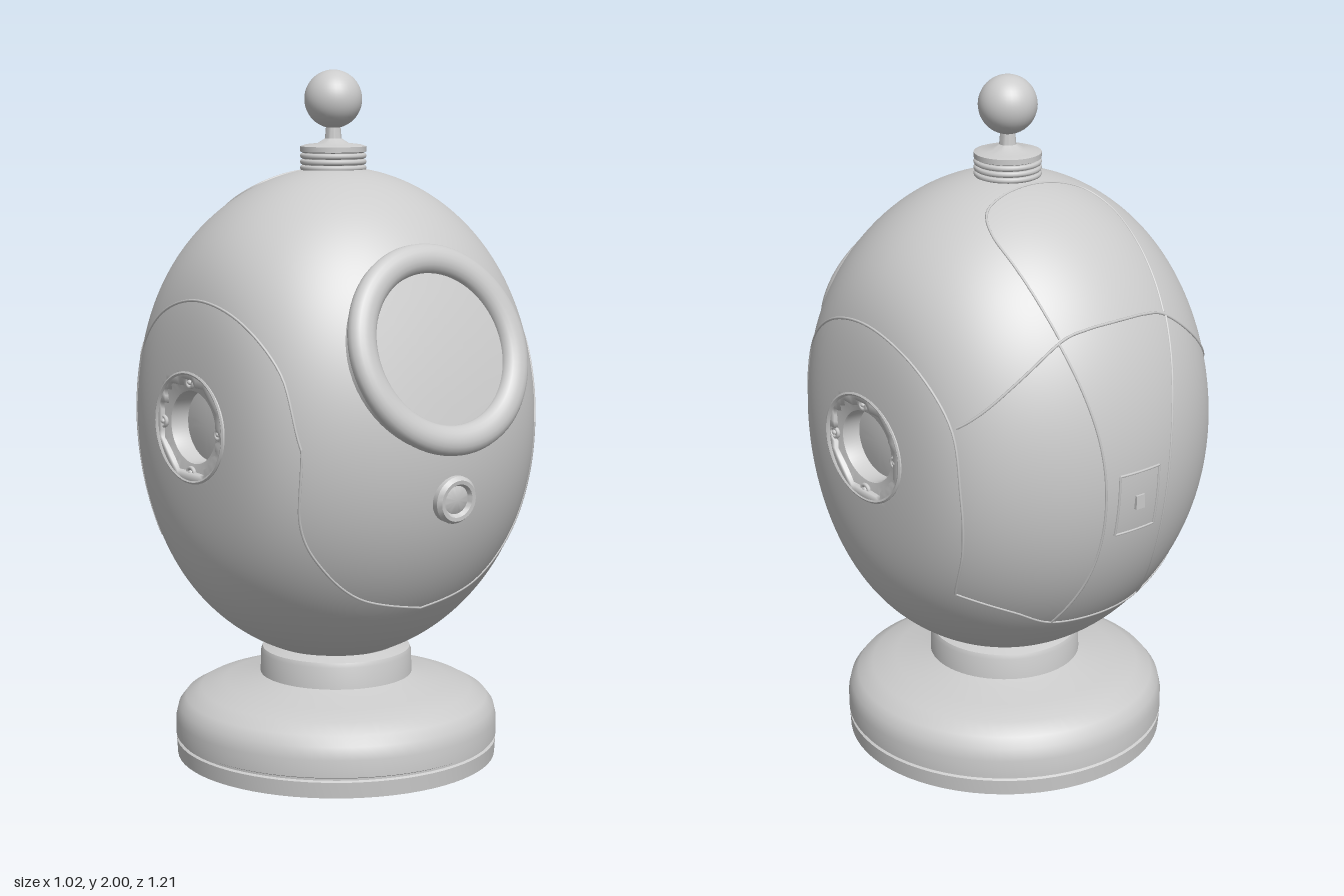
import * as THREE from 'three';
import { mergeVertices, toCreasedNormals } from 'three/addons/utils/BufferGeometryUtils.js';

const mat = new THREE.MeshStandardMaterial({ color: 0xcccccc, side: THREE.DoubleSide });
const V2 = (p) => new THREE.Vector2(p[0], p[1]);

// Shell: an ellipsoid with softly flattened sides and a slightly shallower front
const CY = 1.01, HALF = 0.715, R = 0.597, FRONT = 0.95, FLAT = 0.53;
const radius = (y) => R * Math.sqrt(Math.max(0, 1 - ((y - CY) / HALF) ** 2));
const soften = (x) => x / (1 + (Math.abs(x) / FLAT) ** 8) ** 0.125;
const unsoften = (x) => x / (1 - (Math.abs(x) / FLAT) ** 8) ** 0.125;
const onFace = (dir) => (x, y) => new THREE.Vector3(
  x, y, dir * (dir > 0 ? FRONT : 1) * Math.sqrt(Math.max(0, radius(y) ** 2 - unsoften(x) ** 2)));
const onSide = (z, y) => new THREE.Vector3(
  soften(Math.sqrt(Math.max(0, radius(y) ** 2 - (z > 0 ? z / FRONT : z) ** 2))), y, z);
const onCrown = (x, z) => new THREE.Vector3(
  x, CY + HALF * Math.sqrt(Math.max(0, 1 - (unsoften(x) ** 2 + z * z) / (R * R))), z);
const front = onFace(1), back = onFace(-1);

const WINDOW = new THREE.Vector3(0, 1.25, 0.487), TILT = -0.34;
const PORT_Y = 1.015, PORT_SQUASH = 0.88;
const CROWN_Z = -0.014;

function add(parent, name, geo, x = 0, y = 0, z = 0) {
  const mesh = new THREE.Mesh(geo, mat);
  mesh.name = name;
  mesh.position.set(x, y, z);
  parent.add(mesh);
  return mesh;
}

function lathe(points, segments = 64) {
  return toCreasedNormals(new THREE.LatheGeometry(points.map(V2), segments), 0.6);
}

function shellGeometry() {
  const profile = [];
  for (let i = 0; i <= 110; i++) {
    const a = -Math.PI / 2 + (Math.PI * i) / 110;
    profile.push(new THREE.Vector2(Math.max(0, R * Math.cos(a)), CY + HALF * Math.sin(a)));
  }
  let geo = new THREE.LatheGeometry(profile, 180);
  const pos = geo.attributes.position, v = new THREE.Vector3();
  for (let i = 0; i < pos.count; i++) {
    v.fromBufferAttribute(pos, i);
    v.x = soften(v.x);
    if (v.z > 0) v.z *= FRONT;
    // sink the shell behind the portholes
    if (Math.abs(v.x) > 0.3 && Math.hypot(v.z, (v.y - PORT_Y) / PORT_SQUASH) < 0.138) {
      v.x = Math.sign(v.x) * 0.41;
    }
    // flatten the shell behind the front window
    if (v.z > 0.2) {
      const local = v.clone().sub(WINDOW).applyAxisAngle(new THREE.Vector3(1, 0, 0), -TILT);
      if (Math.hypot(local.x, local.y) < 0.24) {
        local.z = Math.min(local.z, -0.02);
        v.copy(local.applyAxisAngle(new THREE.Vector3(1, 0, 0), TILT).add(WINDOW));
      }
    }
    pos.setXYZ(i, v.x, v.y, v.z);
  }
  geo.deleteAttribute('uv');
  geo.deleteAttribute('normal');
  geo = mergeVertices(geo, 1e-5);
  geo.computeVertexNormals();
  return geo;
}

// Thin seam that follows the shell; points are flat coordinates mapped onto it
function seam(parent, name, points, map) {
  const flat = new THREE.SplineCurve(points.map(V2));
  const path = flat.getPoints(36).map((p) => map(p.x, p.y));
  for (const s of [1, -1]) {
    const curve = new THREE.CatmullRomCurve3(path.map((p) => new THREE.Vector3(p.x * s, p.y, p.z)));
    add(parent, name, new THREE.TubeGeometry(curve, 60, 0.004, 6));
  }
}

// Dished rim with four bolts around a deep-set glass
function porthole() {
  const g = new THREE.Group();
  g.name = 'porthole';
  add(g, 'portholeRim', lathe([
    [0.18, -0.03], [0.18, 0], [0.174, 0.003], [0.168, 0], [0.16, -0.008],
    [0.125, -0.014], [0.117, -0.016], [0.114, -0.022], [0.114, -0.07]]));
  add(g, 'portholeGlass', lathe([[0.115, -0.07], [0.07, -0.064], [0, -0.06]], 48));
  for (let i = 0; i < 4; i++) {
    const a = (i * Math.PI) / 2, x = 0.145 * Math.cos(a), z = 0.145 * Math.sin(a);
    const bolt = add(g, 'portholeBolt', new THREE.TorusGeometry(0.016, 0.006, 8, 18), x, -0.008, z);
    bolt.rotation.x = Math.PI / 2;
    add(g, 'portholeBoltHead', new THREE.SphereGeometry(0.009, 12, 8), x, -0.008, z);
  }
  g.rotation.z = -Math.PI / 2;
  g.scale.x = PORT_SQUASH;
  g.position.set(0.505, PORT_Y, 0);
  return g;
}

export function createModel() {
  const model = new THREE.Group();
  model.name = 'divingHelmet';

  add(model, 'shell', shellGeometry());

  // Plate seams
  const seams = new THREE.Group();
  seams.name = 'plateSeams';
  model.add(seams);
  seam(seams, 'sidePlateSeam', [[0.41, 1.0], [0.35, 1.2], [0.2, 1.33], [0, 1.37], [-0.2, 1.31],
    [-0.34, 1.17], [-0.375, 0.97], [-0.36, 0.8], [-0.3, 0.65]], onSide);
  seam(seams, 'frontPlateSeam', [[0.405, 1.0], [0.395, 0.8], [0.33, 0.67], [0.2, 0.56], [0, 0.51]], front);
  seam(seams, 'crownPlateSeam', [[0, -0.118], [0.11, -0.125], [0.18, -0.15], [0.213, -0.22],
    [0.212, -0.32], [0.2, -0.41], [0.185, -0.468]], onCrown);
  seam(seams, 'backUpperSeam', [[0, 1.415], [0.1, 1.41], [0.19, 1.385], [0.32, 1.29], [0.445, 1.17]], back);
  seam(seams, 'backInnerSeam', [[0.19, 1.385], [0.13, 1.12], [0.11, 0.9], [0.12, 0.7], [0.16, 0.53]], back);
  seam(seams, 'backLowerSeam', [[0, 0.52], [0.16, 0.53], [0.28, 0.59], [0.41, 0.65]], back);

  // Small latch on the back plate
  seam(seams, 'latchSide', [[0.07, 0.83], [0.07, 1.01]], back);
  seam(seams, 'latchTop', [[0, 1.01], [0.07, 1.01]], back);
  seam(seams, 'latchBottom', [[0, 0.83], [0.07, 0.83]], back);
  add(model, 'latchPin', new THREE.BoxGeometry(0.03, 0.04, 0.02), 0, 0.92, -0.59);

  // Tilted front window
  const win = new THREE.Group();
  win.name = 'frontWindow';
  win.position.copy(WINDOW);
  win.rotation.x = TILT;
  model.add(win);
  add(win, 'windowRing', new THREE.TorusGeometry(0.255, 0.042, 20, 72)).scale.z = 0.8;
  const glass = add(win, 'windowGlass', lathe([[0.235, 0], [0.16, 0.007], [0.08, 0.011], [0, 0.012]]));
  glass.rotation.x = Math.PI / 2;
  const collar = add(win, 'windowCollar', new THREE.CylinderGeometry(0.285, 0.3, 0.07, 64, 1, true), 0, 0, -0.035);
  collar.rotation.x = Math.PI / 2;

  // Side portholes
  for (const turn of [0, Math.PI]) {
    const side = new THREE.Group();
    side.name = turn ? 'rightSide' : 'leftSide';
    side.rotation.y = turn;
    side.add(porthole());
    model.add(side);
  }

  // Valve under the window
  const valve = add(model, 'valve', lathe([[0.067, -0.03], [0.067, 0.016], [0.058, 0.028], [0.047, 0.027],
    [0.04, 0.015], [0.034, 0.018], [0, 0.022]], 36), 0, 0.845, 0.55);
  valve.rotation.x = Math.PI / 2 + 0.1;

  // Threaded collar, stem and ball on the crown
  add(model, 'crownCollar', lathe([[0.088, 1.68], [0.088, 1.765], [0.095, 1.768], [0.095, 1.783],
    [0.08, 1.788], [0.045, 1.792], [0.024, 1.805], [0.02, 1.85]], 40), 0, 0, CROWN_Z);
  for (let i = 0; i < 3; i++) {
    const thread = add(model, 'collarThread', new THREE.TorusGeometry(0.088, 0.008, 8, 48),
      0, 1.722 + i * 0.017, CROWN_Z);
    thread.rotation.x = Math.PI / 2;
  }
  add(model, 'crownBall', new THREE.SphereGeometry(0.083, 36, 24), 0, 1.917, CROWN_Z);

  // Neck and round base with a nearly flat, dimpled underside
  add(model, 'neck', lathe([[0.225, 0.2], [0.222, 0.305], [0.217, 0.318], [0.18, 0.33]]));
  add(model, 'base', lathe([[0, 0.04], [0.035, 0.04], [0.042, 0.006], [0.43, 0.016], [0.437, 0], [0.47, 0],
    [0.473, 0.046], [0.466, 0.05], [0.466, 0.056], [0.474, 0.06], [0.474, 0.11], [0.466, 0.145],
    [0.445, 0.172], [0.4, 0.197], [0.33, 0.216], [0.26, 0.23], [0.22, 0.243]], 72));

  return model;
}
